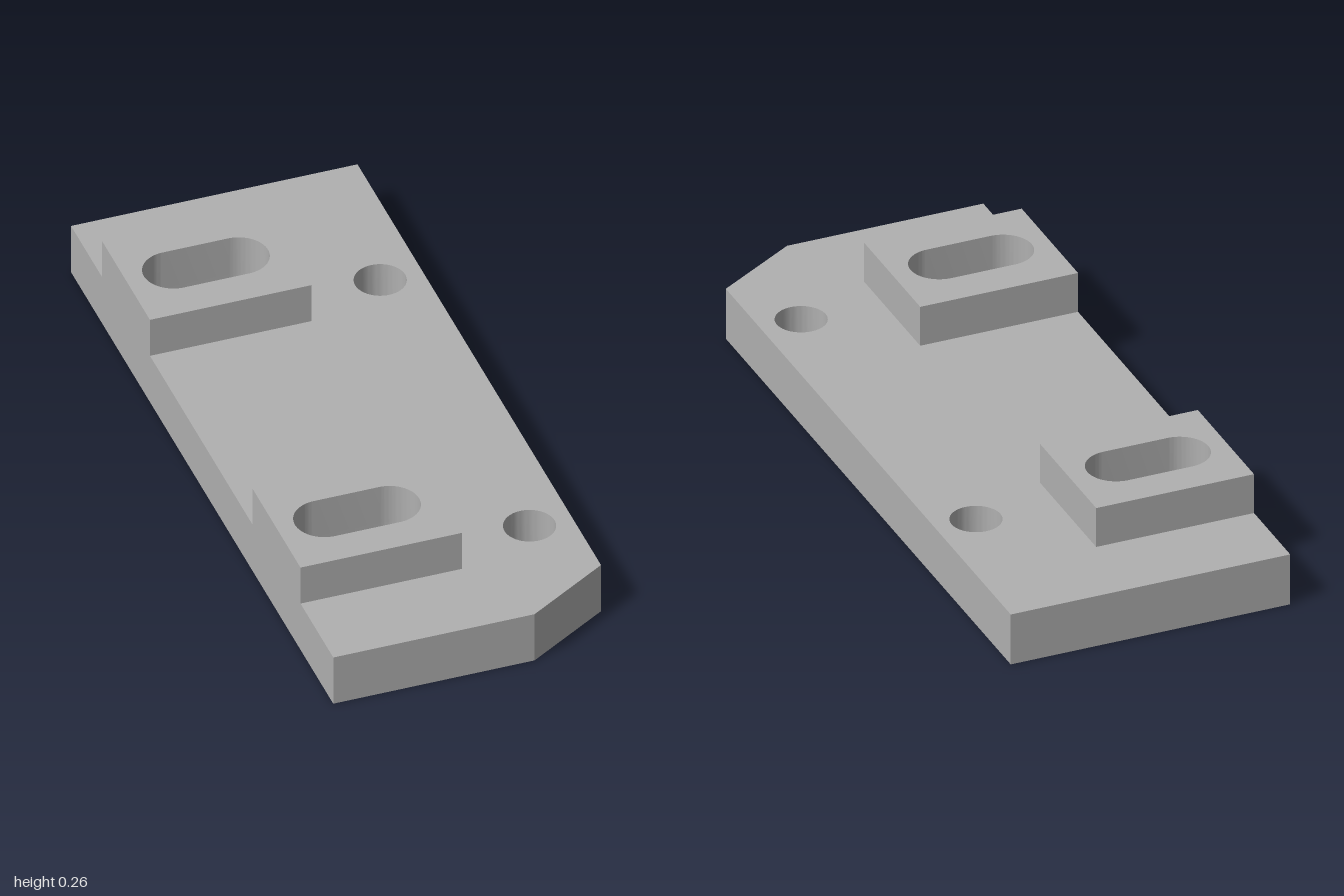
import * as THREE from 'three';
import { toCreasedNormals } from 'three/addons/utils/BufferGeometryUtils.js';

const HALF_WIDTH = 0.395;
const PLATE_HEIGHT = 0.149;
const PAD_HEIGHT = 0.116;
const PAD_RIGHT = 0.051;

// Outlines are drawn in (x, -z) and extruded upwards.
function outline(points) {
  return new THREE.Shape(points.map(([x, z]) => new THREE.Vector2(x, -z)));
}

function roundHole(x, z, radius) {
  const path = new THREE.Path();
  path.absarc(x, -z, radius, 0, Math.PI * 2, true);
  return path;
}

// Slot with round ends, running along x.
function slotHole(z) {
  const r = 0.081;
  const path = new THREE.Path();
  path.absarc(-0.003 - r, -z, r, -Math.PI / 2, Math.PI / 2, false);
  path.absarc(-0.345 + r, -z, r, Math.PI / 2, Math.PI * 1.5, false);
  path.closePath();
  return path;
}

function extrudeUp(name, shape, bottom, height, material) {
  const solid = new THREE.ExtrudeGeometry(shape, { depth: height, bevelEnabled: false, curveSegments: 32 });
  solid.rotateX(-Math.PI / 2);
  solid.translate(0, bottom, 0);
  const mesh = new THREE.Mesh(toCreasedNormals(solid, 0.5), material);
  mesh.name = name;
  return mesh;
}

export function createModel() {
  const model = new THREE.Group();
  model.name = 'mountingPlate';
  const metal = new THREE.MeshStandardMaterial({ color: 0xb0b0b0 });
  metal.name = 'grey metal';

  const pads = [
    { name: 'rearPad', back: -0.764, front: -0.398, slot: -0.582 },
    { name: 'frontPad', back: 0.383, front: 0.75, slot: 0.57 },
  ];

  // Base plate with one clipped corner, two bolt holes and two slots
  const base = outline([
    [-HALF_WIDTH, -1], [-HALF_WIDTH, 1], [0.16, 1], [HALF_WIDTH, 0.857], [HALF_WIDTH, -1],
  ]);
  base.holes.push(roundHole(0.279, -0.506, 0.069), roundHole(0.279, 0.633, 0.069));
  for (const pad of pads) base.holes.push(slotHole(pad.slot));
  model.add(extrudeUp('basePlate', base, 0, PLATE_HEIGHT, metal));

  // Raised pads, each pierced by its slot
  for (const { name, back, front, slot } of pads) {
    const pad = outline([
      [-HALF_WIDTH, back], [-HALF_WIDTH, front], [PAD_RIGHT, front], [PAD_RIGHT, back],
    ]);
    pad.holes.push(slotHole(slot));
    model.add(extrudeUp(name, pad, PLATE_HEIGHT, PAD_HEIGHT, metal));
  }
  return model;
}
